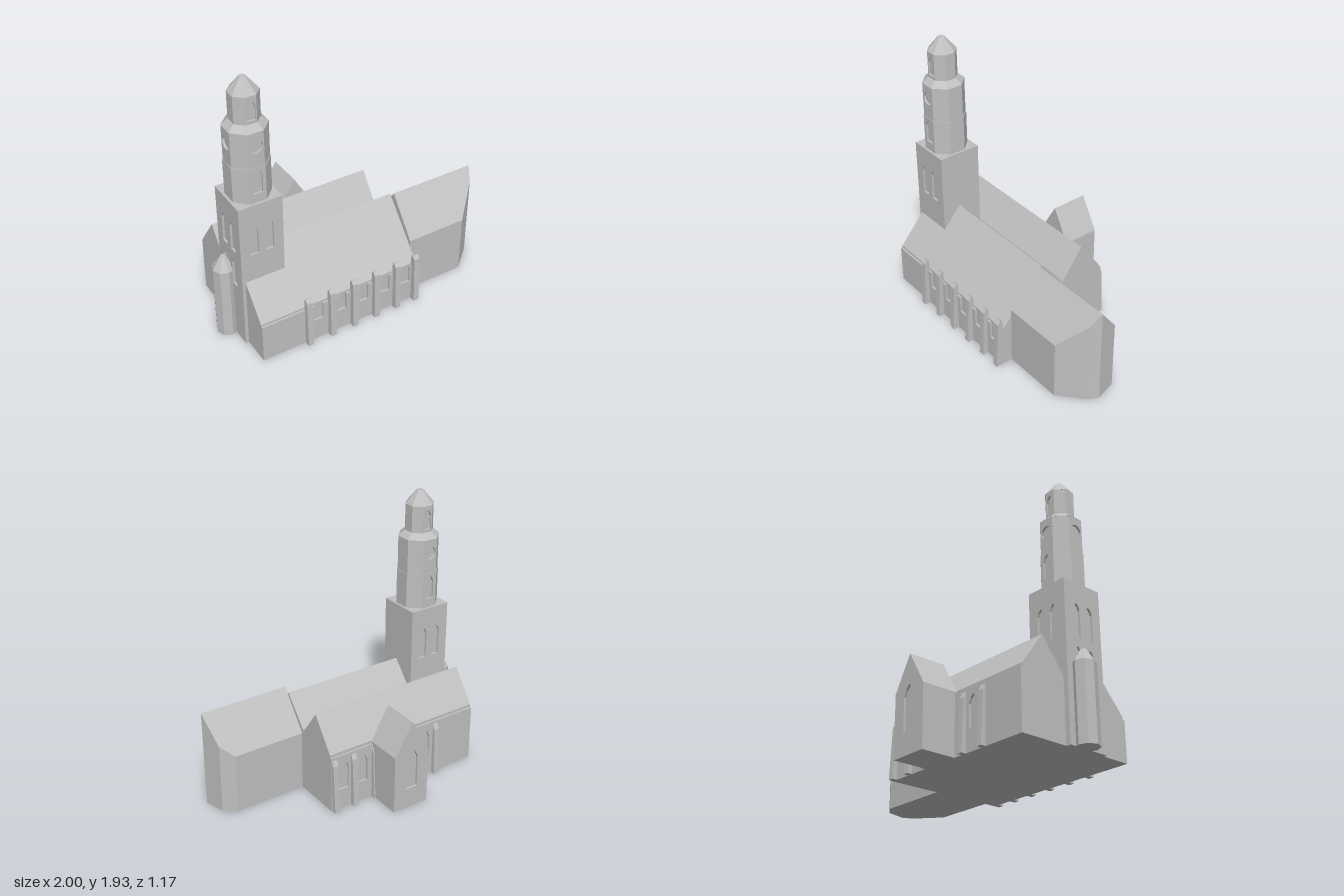
import * as THREE from 'three';

const stone = new THREE.MeshStandardMaterial({ color: 0xc0c0c0 });
stone.name = 'stone';
const DEPTH = 0.015; // how far windows are set back

function mesh(name, geometry, parent) {
  const m = new THREE.Mesh(geometry, stone);
  m.name = name;
  parent.add(m);
  return m;
}

function polygon(points) {
  return new THREE.Shape(points.map(([x, y]) => new THREE.Vector2(x, y)));
}

// Profile of [z, y] points swept along x
function prism(profile, x0, x1) {
  const g = new THREE.ExtrudeGeometry(polygon(profile.map(([z, y]) => [-z, y])), { depth: x1 - x0, bevelEnabled: false });
  return g.rotateY(Math.PI / 2).translate(x0, 0, 0);
}

// Flat-sided cylinder or cone, sized by corner radius
function drum(rTop, rBottom, y0, y1, turn) {
  const g = new THREE.CylinderGeometry(rTop, rBottom, y1 - y0, 8).rotateY(turn).translate(0, (y0 + y1) / 2, 0).toNonIndexed();
  g.computeVertexNormals();
  return g;
}

// Pointed window outline
function lancet(x, y0, y1, w) {
  const s = y1 - w * 0.75, h = w / 2;
  return polygon([[x - h, y0], [x + h, y0], [x + h, s], [x + h * 0.6, s + (y1 - s) * 0.6], [x, y1], [x - h * 0.6, s + (y1 - s) * 0.6], [x - h, s]]);
}

function roundel(x, y, r) {
  const p = new THREE.Path();
  p.absarc(x, y, r, 0, Math.PI * 2);
  return p;
}

// Wall skin with openings; its outer face lies on local z = 0
function wall(name, outline, holes, parent) {
  const shape = polygon(outline);
  shape.holes.push(...holes);
  const g = new THREE.ExtrudeGeometry(shape, { depth: DEPTH, bevelEnabled: false, curveSegments: 10 });
  return mesh(name, g.translate(0, 0, -DEPTH), parent);
}

const rect = (x0, x1, y0, y1) => [[x0, y0], [x1, y0], [x1, y1], [x0, y1]];

// Eight wall panels around a core; openings keyed by side (0 = front, 4 = back, 6 = -x)
function octagonTier(name, apothem, y0, y1, openings, parent) {
  const group = new THREE.Group();
  group.name = name;
  parent.add(group);
  const r = (apothem - DEPTH) / Math.cos(Math.PI / 8);
  mesh('tierCore', drum(r, r, y0, y1, Math.PI / 8), group);
  const h = apothem * Math.tan(Math.PI / 8);
  for (let i = 0; i < 8; i++) {
    const a = (i * Math.PI) / 4;
    const p = wall('tierWall', rect(-h, h, y0, y1), openings[i] || [], group);
    p.position.set(Math.sin(a) * apothem, 0, Math.cos(a) * apothem);
    p.rotation.y = a;
  }
}

function buildTower(parent) {
  const tower = new THREE.Group();
  tower.name = 'tower';
  tower.position.set(-0.732, 0, 0.178);
  parent.add(tower);

  // Square base
  const H = 0.157, top = 1.105;
  const core = 2 * (H - DEPTH);
  mesh('towerCore', new THREE.BoxGeometry(core, top, core).translate(0, top / 2, 0), tower);
  const pair = (y0, y1) => [-0.055, 0.055].map(x => lancet(x, y0, y1, 0.06));
  const sides = [pair(0.725, 0.96), [], pair(0.725, 0.96), [...pair(0.725, 0.96), ...pair(0.44, 0.66)]];
  sides.forEach((holes, i) => {
    const a = (i * Math.PI) / 2;
    const p = wall('towerWall', rect(-H, H, 0, top), holes, tower);
    p.position.set(Math.sin(a) * H, 0, Math.cos(a) * H);
    p.rotation.y = a;
  });

  // Octagonal tiers
  const tall = () => [lancet(0, 1.17, 1.345, 0.066)];
  const clock = () => [roundel(0, 1.51, 0.046)];
  const belfry = () => [lancet(0, 1.67, 1.81, 0.06)];
  octagonTier('lowerOctagon', 0.139, top, 1.36, { 0: tall(), 4: tall() }, tower);
  octagonTier('clockOctagon', 0.135, 1.36, 1.61, { 0: clock(), 4: clock(), 6: clock() }, tower);
  octagonTier('belfry', 0.093, 1.64, 1.84, { 0: belfry(), 4: belfry() }, tower);
  const c = Math.cos(Math.PI / 8);
  mesh('cornice', drum(0.095 / c, 0.136 / c, 1.61, 1.65, Math.PI / 8), tower);
  mesh('spire', drum(0.022, 0.094 / c, 1.84, 1.935, Math.PI / 8), tower);
}

// Body ending in an angled apse; every wall rises to meet the roof slope
function choirGeometry() {
  const x0 = 0.35;
  const stations = [[0.03, 0.875, 0.435], [0.09, 0.96, 0.512], [0.24, 1, 0.705], [0.31, 0.965, 0.615], [0.455, 0.8, 0.43]];
  const loops = stations.map(([z, x, y]) => [[x0, 0, z], [x0, y, z], [x, y, z], [x, 0, z]]);
  const pos = [];
  const quad = (a, b, c, d) => pos.push(...a, ...b, ...c, ...a, ...c, ...d);
  for (let i = 0; i < loops.length - 1; i++) {
    for (let k = 0; k < 4; k++) {
      const n = (k + 1) % 4;
      quad(loops[i][k], loops[i + 1][k], loops[i + 1][n], loops[i][n]);
    }
  }
  quad(...loops[0]);
  quad(...[...loops[loops.length - 1]].reverse());
  const g = new THREE.BufferGeometry();
  g.setAttribute('position', new THREE.Float32BufferAttribute(pos, 3));
  g.computeVertexNormals();
  return g;
}

export function createModel() {
  const church = new THREE.Group();
  church.name = 'church';

  // Twin naves
  mesh('southNave', prism([[0.525, 0], [0.525, 0.3], [0.197, 0.677], [0.02, 0.47], [0.02, 0]], -0.865, 0.35), church);
  mesh('northNave', prism([[0.03, 0], [0.03, 0.43], [-0.15, 0.672], [-0.32, 0.438], [-0.32, 0]], -0.855, 0.355), church);

  // South wall with window notches open at the eaves
  const outline = [[-0.865, 0], [0.35, 0], [0.35, 0.285]];
  for (const x of [0.26, 0.09, -0.085, -0.26, -0.44]) {
    outline.push([x + 0.035, 0.285], [x + 0.035, 0.16], [x - 0.035, 0.16], [x - 0.035, 0.285]);
  }
  outline.push([-0.865, 0.285]);
  wall('southWall', outline, [], church).position.z = 0.54;

  // North wall with pointed windows (local x is mirrored by the turn)
  const north = wall('northWall', rect(-0.355, 0.855, 0, 0.418),
    [0.255, 0.1, -0.435].map(x => lancet(-x, 0.15, 0.37, 0.08)), church);
  north.rotation.y = Math.PI;
  north.position.z = -0.335;

  // Buttresses
  for (const x of [-0.525, -0.347, -0.17, 0.005, 0.175, 0.33]) {
    mesh('southButtress', prism([[0.52, 0], [0.583, 0], [0.567, 0.355], [0.545, 0.383], [0.53, 0.37]], x - 0.02, x + 0.02), church);
    if (x !== -0.17) {
      mesh('northButtress', prism([[-0.32, 0], [-0.372, 0], [-0.352, 0.36], [-0.33, 0.41], [-0.32, 0.41]], x - 0.02, x + 0.02), church);
    }
  }

  // Choir and apse
  mesh('choir', choirGeometry(), church);

  // North transept: gabled block with a windowed gable wall
  const gable = [[-0.1385, 0], [0.1385, 0], [0.1385, 0.43], [0, 0.665], [-0.1385, 0.43]];
  const transept = new THREE.Group();
  transept.name = 'transept';
  transept.position.set(-0.123, 0, -0.585);
  transept.rotation.y = Math.PI;
  church.add(transept);
  const body = new THREE.ExtrudeGeometry(polygon(gable), { depth: 0.27 - DEPTH, bevelEnabled: false });
  mesh('transeptBody', body.translate(0, 0, -0.27), transept);
  wall('transeptGable', gable, [lancet(0, 0.15, 0.46, 0.1)], transept);

  // Stair turret
  const turret = new THREE.Group();
  turret.name = 'stairTurret';
  turret.position.set(-0.92, 0, 0.135);
  church.add(turret);
  mesh('turretShaft', drum(0.08, 0.08, 0, 0.54, 0), turret);
  mesh('turretCap', drum(0.02, 0.08, 0.54, 0.63, 0), turret);

  buildTower(church);
  return church;
}
